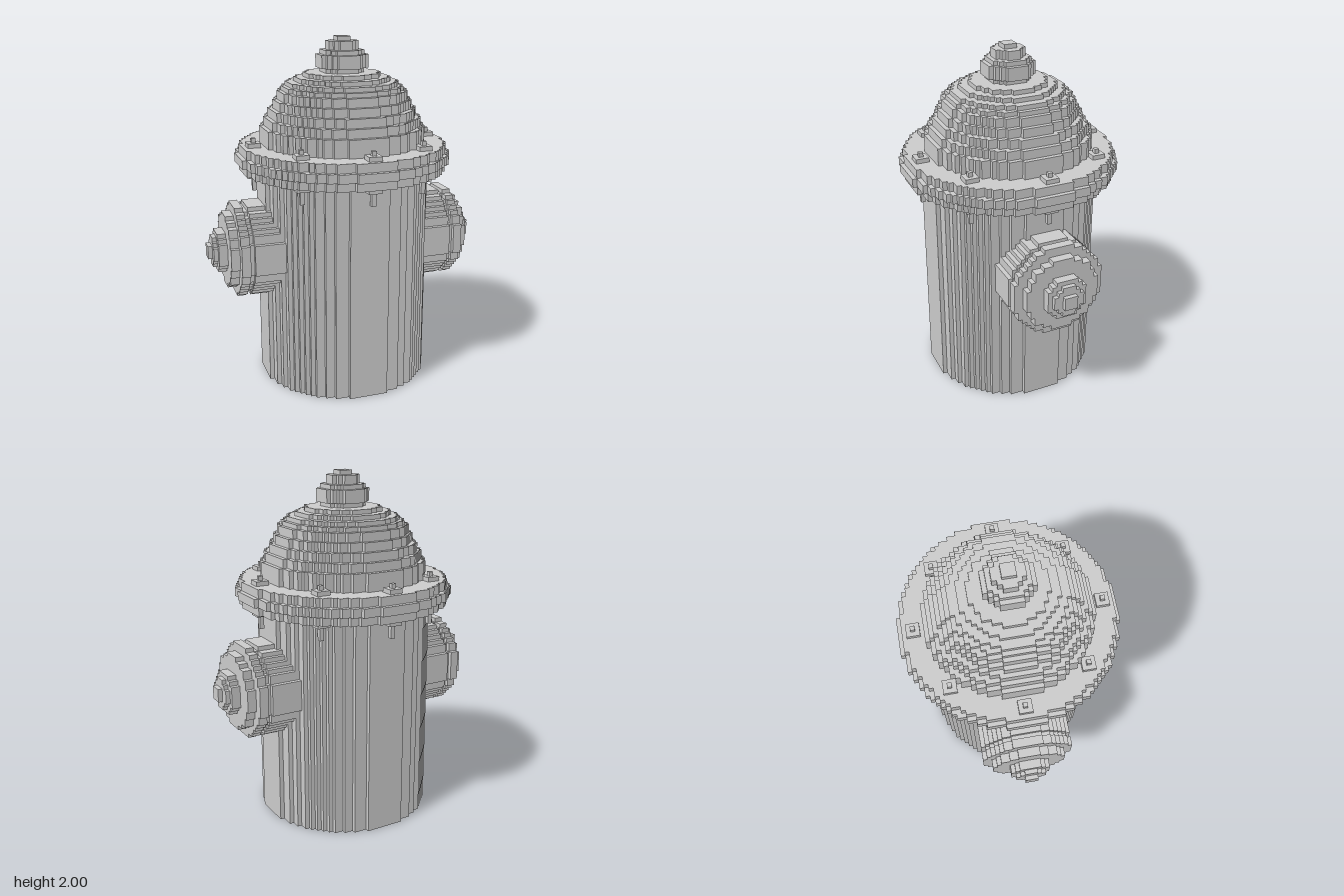
import * as THREE from 'three';

const V = 0.025; // size of one block
const material = new THREE.MeshStandardMaterial({ color: 0xcccccc, flatShading: true });

// Outline of a circle made of square blocks, radius n + 0.5 blocks
function blockCircle(n) {
  const right = [];
  for (let j = -n; j <= n; j++) {
    const w = Math.floor(Math.sqrt((n + 0.5) ** 2 - j * j)) + 0.5;
    right.push([w, j - 0.5], [w, j + 0.5]);
  }
  const left = right.map(([x, y]) => [-x, y]).reverse();
  return new THREE.Shape([...right, ...left].map(([x, y]) => new THREE.Vector2(x * V, y * V)));
}

// Stack of stepped discs along +z; each layer is [from, to, n] in blocks
function stack(name, layers) {
  const group = new THREE.Group();
  group.name = name;
  layers.forEach(([from, to, n], i) => {
    const geo = new THREE.ExtrudeGeometry(blockCircle(n), { depth: (to - from) * V, bevelEnabled: false });
    geo.translate(0, 0, from * V);
    const mesh = new THREE.Mesh(geo, material);
    mesh.name = `${name}Layer${i + 1}`;
    group.add(mesh);
  });
  return group;
}

// Box centred on the y axis, sizes in blocks
function block(name, width, from, to) {
  const geo = new THREE.BoxGeometry(width * V, (to - from) * V, width * V);
  geo.translate(0, (from + to) / 2 * V, 0);
  const mesh = new THREE.Mesh(geo, material);
  mesh.name = name;
  return mesh;
}

export function createModel() {
  const model = new THREE.Group();
  model.name = 'fireHydrant';

  // Upright stacks: barrel, flange, dome and top knob
  const upright = {
    barrel: [[0, 50, 19]],
    flange: [[50, 52, 23], [52, 54, 24], [54, 56, 23]],
    dome: [[56, 60, 18], [60, 62, 17], [62, 64, 16], [64, 66, 15], [66, 68, 14],
      [68, 69, 13], [69, 70, 12], [70, 71, 10], [71, 72, 8]],
    topKnob: [[72, 73, 4], [73, 76, 5], [76, 77, 4], [77, 79, 3], [79, 80, 1]],
  };
  for (const [name, layers] of Object.entries(upright)) {
    const part = stack(name, layers);
    part.rotation.x = -Math.PI / 2;
    model.add(part);
  }

  // Side outlets: pipe, groove, cap and nut
  for (const side of [1, -1]) {
    const outlet = stack(side > 0 ? 'leftOutlet' : 'rightOutlet', [
      [15, 23.5, 10], [23.5, 24.5, 9], [24.5, 26.5, 10], [26.5, 28.5, 8],
      [28.5, 30.5, 4], [30.5, 31.5, 3], [31.5, 32.5, 1],
    ]);
    outlet.rotation.y = side * Math.PI / 2;
    outlet.position.y = 32.5 * V;
    model.add(outlet);
  }

  // Eight bolts through the flange
  const spots = [[21, 0], [-21, 0], [0, 21], [0, -21], [14, 15], [-14, 15], [14, -15], [-14, -15]];
  spots.forEach(([x, z], i) => {
    const bolt = new THREE.Group();
    bolt.name = `bolt${i + 1}`;
    bolt.add(block('boltHead', 3, 56, 57), block('boltNut', 3, 49, 50), block('boltPin', 1, 46, 58));
    bolt.position.set(x * V, 0, z * V);
    model.add(bolt);
  });

  return model;
}
